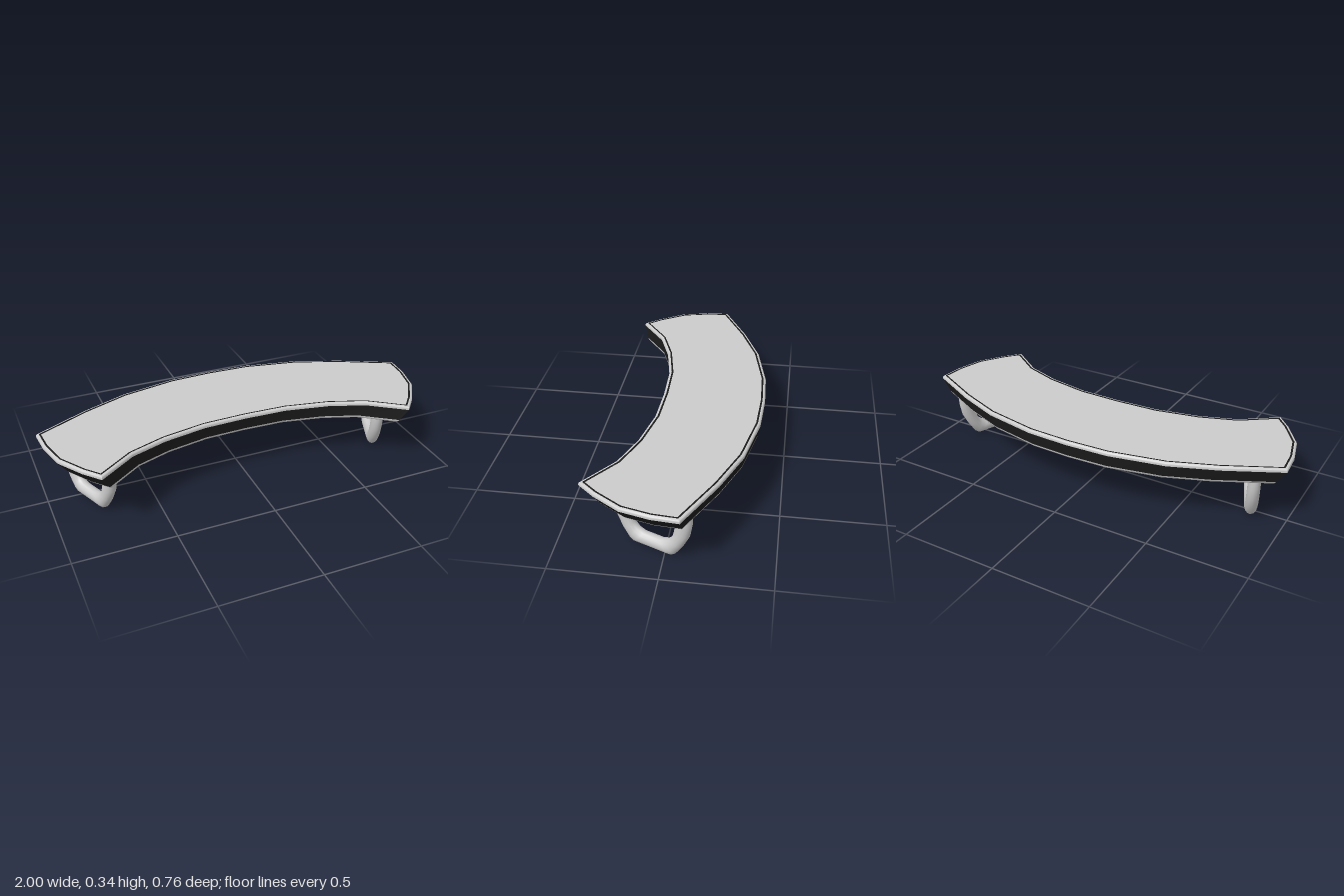
import * as THREE from 'three';
import { toCreasedNormals } from 'three/addons/utils/BufferGeometryUtils.js';

const grey = new THREE.MeshStandardMaterial({ color: 0xcccccc });
const black = new THREE.MeshStandardMaterial({ color: 0x1c1c1c });

// Right half of the curved plan (x, z), front centre round to back centre
const half = [
  [0, 0.135], [0.22, 0.142], [0.44, 0.185], [0.62, 0.25], [0.8, 0.38],
  [0.87, 0.3], [0.955, 0.17], [0.99, 0.03], [1, -0.096],
  [0.73, -0.23], [0.5, -0.32], [0.22, -0.376], [0, -0.385],
];
const plan = [...half, ...half.slice(1, -1).reverse().map(([x, z]) => [-x, z])];

// Plan moved inwards by a mitred distance, then shrunk by k
function outline(inset, k = 1) {
  const n = plan.length;
  const inward = (a, b) => new THREE.Vector2(b[1] - a[1], a[0] - b[0]).normalize();
  return plan.map((p, i) => {
    const n1 = inward(plan[(i + n - 1) % n], p);
    const n2 = inward(p, plan[(i + 1) % n]);
    const m = n1.clone().add(n2).multiplyScalar(inset / (1 + n1.dot(n2)));
    return [(p[0] + m.x) * k, -0.12 + (p[1] + m.y + 0.12) * k];
  });
}

// Joins closed rings of [x, y, z] points into a surface
function loft(rings, crease) {
  const n = rings[0].length;
  const index = [];
  for (let i = 0; i < rings.length - 1; i++) {
    for (let j = 0; j < n; j++) {
      const a = i * n + j, b = i * n + (j + 1) % n;
      index.push(a, b, b + n, a, b + n, a + n);
    }
  }
  const g = new THREE.BufferGeometry();
  g.setAttribute('position', new THREE.Float32BufferAttribute(rings.flat(2), 3));
  g.setIndex(index);
  return toCreasedNormals(g, crease);
}

// Band round the seat; each ring is [inset, scale, height]
const band = (rows) => loft(
  rows.map(([inset, k, y]) => outline(inset, k).map(([x, z]) => [x, y, z])), 0.8);

// Flat face filling an outline
function cap(inset, k, y, up) {
  const pts = outline(inset, k).map(([x, z]) => new THREE.Vector2(x, up ? -z : z));
  return new THREE.ShapeGeometry(new THREE.Shape(pts))
    .rotateX(up ? -Math.PI / 2 : Math.PI / 2).translate(0, y, 0);
}

// U-shaped leg on one side (+1 or -1): rings between its outer and inner edge lines
function legGeometry(sideSign) {
  // outer distance, outer height, inner distance, inner height
  const arm = [
    [0.188, 0.25, 0.111, 0.25], [0.186, 0.2, 0.111, 0.19],
    [0.175, 0.135, 0.105, 0.145], [0.144, 0.067, 0.093, 0.1],
    [0.11, 0.012, 0.07, 0.078], [0.095, 0, 0.04, 0.066],
  ];
  const rows = [...arm, ...arm.slice().reverse().map(([a, b, c, d]) => [-a, b, -c, d])];
  const sides = 14, halfWidth = 0.031;
  const rings = rows.map(([ou, oy, iu, iy]) => {
    const ring = [];
    for (let j = 0; j < sides; j++) {
      const t = -sideSign * (j / sides) * Math.PI * 2;
      const mix = 0.5 + 0.5 * Math.cos(t);
      const u = iu + (ou - iu) * mix;
      const w = halfWidth * Math.sin(t);
      ring.push([
        sideSign * (0.79 - 0.405 * u + 0.927 * w), iy + (oy - iy) * mix, 0.057 + u + 0.375 * w,
      ]);
    }
    return ring;
  });
  return loft(rings, 1.2);
}

export function createModel() {
  const model = new THREE.Group();
  model.name = 'curvedBench';
  const add = (name, geometry, material) => {
    const mesh = new THREE.Mesh(geometry, material);
    mesh.name = name;
    model.add(mesh);
  };

  // Seat: underside with a rounded edge, dark sloping side, pale rim
  add('underside', cap(0.012, 0.945, 0.24, false), grey);
  add('undersideEdge', band([
    [0.012, 0.945, 0.24], [0.004, 0.945, 0.243], [0, 0.948, 0.249], [0, 0.953, 0.256],
  ]), grey);
  add('seatSide', band([[0, 0.953, 0.256], [0, 1, 0.319]]), black);
  add('topRim', band([
    [0, 1, 0.319], [0, 1, 0.328], [0.003, 1, 0.334], [0.008, 1, 0.337], [0.013, 1, 0.337],
  ]), grey);

  // Dark groove between the rim and the seat top
  add('groove', band([
    [0.013, 1, 0.337], [0.013, 1, 0.335], [0.022, 1, 0.335], [0.022, 1, 0.336],
  ]), black);
  add('seatTop', cap(0.022, 1, 0.336, true), grey);

  // Legs
  add('leftLeg', legGeometry(1), grey);
  add('rightLeg', legGeometry(-1), grey);
  return model;
}
